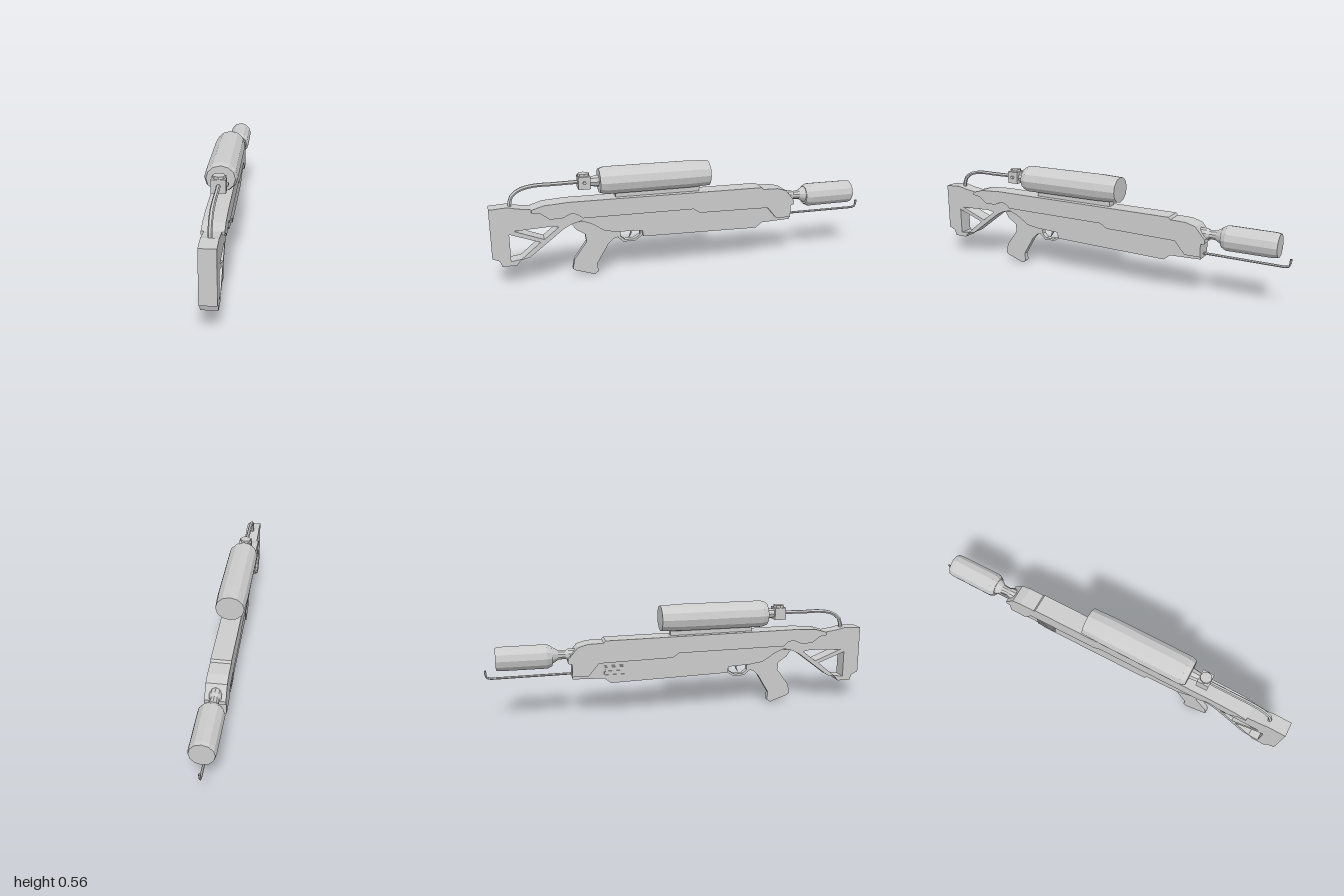
import * as THREE from 'three';

const material = new THREE.MeshStandardMaterial({ color: 0xcccccc, flatShading: true, side: THREE.DoubleSide });

const toPoints = (pairs) => pairs.map(([z, y]) => new THREE.Vector2(z, y));

export function createModel() {
  const model = new THREE.Group();

  const add = (name, geometry, x = 0, y = 0, z = 0) => {
    const mesh = new THREE.Mesh(geometry, material);
    mesh.name = name;
    mesh.position.set(x, y, z);
    model.add(mesh);
    return mesh;
  };

  // Side profile of [z, y] pairs, given a thickness across x
  const addProfile = (name, width, outline, holes = []) => {
    const shape = new THREE.Shape(toPoints(outline));
    holes.forEach((h) => shape.holes.push(new THREE.Path(toPoints(h))));
    const geometry = new THREE.ExtrudeGeometry(shape, { depth: width, bevelEnabled: false });
    geometry.translate(0, 0, -width / 2).rotateY(-Math.PI / 2);
    return add(name, geometry);
  };

  // Turned part along z from [radius, z] pairs
  const addTurned = (name, profile, sides, y) => {
    const geometry = new THREE.LatheGeometry(toPoints(profile), sides);
    return add(name, geometry.rotateX(Math.PI / 2), 0, y, 0);
  };

  const addTube = (name, points, radius, segments, smooth) => {
    const vectors = points.map((p) => new THREE.Vector3(...p));
    let curve = new THREE.CatmullRomCurve3(vectors);
    if (!smooth) {
      curve = new THREE.CurvePath();
      for (let i = 1; i < vectors.length; i++) curve.add(new THREE.LineCurve3(vectors[i - 1], vectors[i]));
    }
    return add(name, new THREE.TubeGeometry(curve, segments, radius, 6, false));
  };

  // Skeleton stock running into the narrow lower receiver
  addProfile('stockAndReceiver', 0.076, [
    [1, 0.40], [0.91, 0.405], [0.87, 0.395], [0.80, 0.385], [-0.5, 0.37], [-0.57, 0.31],
    [-0.57, 0.21], [-0.41, 0.205], [-0.375, 0.178], [0.245, 0.192], [0.25, 0.225],
    [0.37, 0.23], [0.44, 0.24], [0.51, 0.285], [0.56, 0.305], [0.61, 0.292],
    [0.65, 0.27], [0.82, 0.14], [0.865, 0.13], [0.885, 0.105], [0.955, 0.105],
    [0.965, 0.135], [1, 0.15],
  ], [
    [[0.912, 0.268], [0.912, 0.128], [0.86, 0.135], [0.765, 0.213]],
    [[0.89, 0.283], [0.745, 0.226], [0.672, 0.283], [0.71, 0.29]],
  ]);

  // Wide upper shell with its stepped lower edge
  addProfile('upperShell', 0.1, [
    [0.80, 0.385], [0.74, 0.403], [0.62, 0.41], [-0.40, 0.403], [-0.41, 0.392], [-0.49, 0.39],
    [-0.54, 0.375], [-0.59, 0.315], [-0.59, 0.295], [-0.57, 0.29], [-0.57, 0.225],
    [-0.489, 0.225], [-0.436, 0.288], [-0.056, 0.295], [-0.02, 0.318], [0.553, 0.322],
    [0.58, 0.345], [0.61, 0.35], [0.65, 0.332], [0.714, 0.33], [0.76, 0.365], [0.80, 0.37],
  ]);
  add('tankRail', new THREE.BoxGeometry(0.04, 0.035, 0.44), 0, 0.418, 0.16);

  // Pistol grip
  addProfile('grip', 0.028, [
    [0.61, 0.29], [0.585, 0.255], [0.54, 0.225], [0.535, 0.185], [0.60, 0.095], [0.61, 0.045],
    [0.595, 0.035], [0.50, 0.003], [0.48, 0.018], [0.485, 0.06], [0.425, 0.16], [0.40, 0.185],
    [0.37, 0.195], [0.37, 0.24], [0.50, 0.30],
  ]);

  // Trigger guard and trigger
  addProfile('triggerGuard', 0.028, [
    [0.375, 0.235], [0.375, 0.19], [0.345, 0.165], [0.285, 0.165], [0.245, 0.19], [0.24, 0.235],
  ], [[[0.36, 0.225], [0.36, 0.195], [0.337, 0.175], [0.29, 0.175], [0.258, 0.195], [0.256, 0.225]]]);
  addProfile('trigger', 0.012, [[0.32, 0.235], [0.295, 0.235], [0.30, 0.205], [0.315, 0.182], [0.305, 0.21]]);

  // Gas tank, its valve and the hose to the stock
  const tank = addTurned('tank', [
    [0, -0.11], [0.07, -0.11], [0.075, 0], [0.075, 0.43], [0.065, 0.46], [0, 0.462],
  ], 12, 0.495);
  tank.scale.set(1.04, 0.95, 1);
  addTurned('tankNeck', [[0.03, 0.45], [0.028, 0.48], [0.022, 0.52]], 8, 0.495);
  add('valveBlock', new THREE.BoxGeometry(0.068, 0.063, 0.06), 0, 0.495, 0.535);
  add('valveCap', new THREE.CylinderGeometry(0.029, 0.029, 0.014, 8), 0, 0.532, 0.535);
  add('valveKnob', new THREE.CylinderGeometry(0.009, 0.009, 0.012, 6).rotateZ(Math.PI / 2), 0.037, 0.497, 0.535);
  addTube('hose', [
    [0, 0.497, 0.55], [0, 0.495, 0.68], [0, 0.494, 0.78], [0, 0.478, 0.85], [0, 0.445, 0.89], [0, 0.395, 0.9],
  ], 0.01, 14, true);

  // Barrel neck and muzzle canister
  addTurned('barrelNeck', [
    [0.03, -0.54], [0.03, -0.585], [0.022, -0.60], [0.025, -0.635], [0.045, -0.668],
  ], 10, 0.332);
  addTurned('muzzle', [
    [0, -0.94], [0.058, -0.94], [0.062, -0.92], [0.063, -0.69], [0.05, -0.665], [0, -0.665],
  ], 12, 0.328);

  // Thin pilot rod bent up at the tip
  addTube('pilotRod', [
    [0, 0.232, -0.55], [0, 0.23, -0.975], [0, 0.238, -0.993], [0, 0.272, -0.994],
  ], 0.006, 24, false);

  // Slotted vent on the right side
  add('ventFrame', new THREE.BoxGeometry(0.006, 0.064, 0.11), -0.039, 0.24, -0.355);
  for (const y of [0.22, 0.24, 0.26]) {
    add('ventSlat', new THREE.BoxGeometry(0.006, 0.01, 0.1), -0.043, y, -0.355);
  }

  return model;
}
